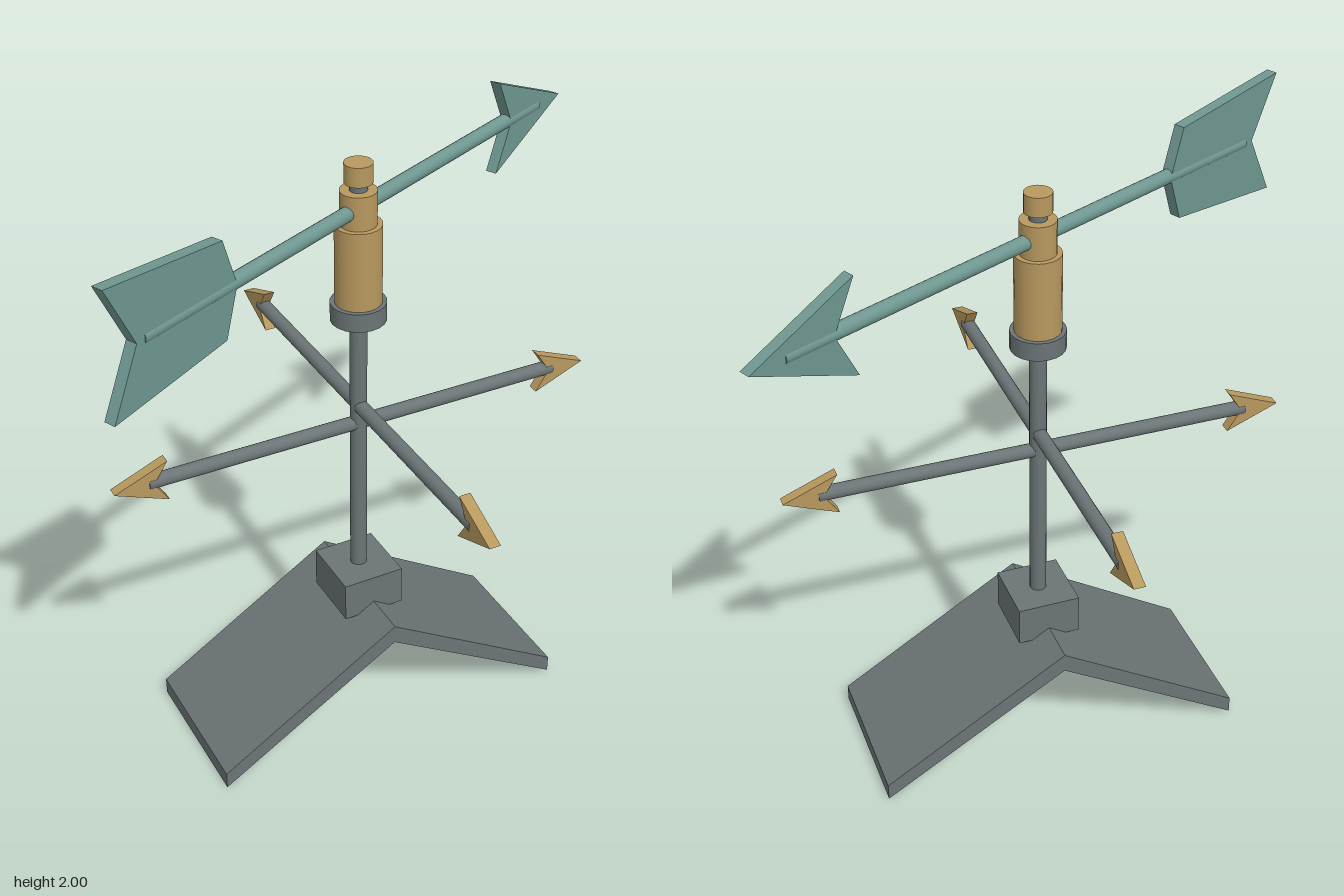
import * as THREE from 'three';

const iron = new THREE.MeshStandardMaterial({ color: 0x6b7476 });
const brass = new THREE.MeshStandardMaterial({ color: 0xb8995f });
const patina = new THREE.MeshStandardMaterial({ color: 0x6f9790 });

function add(parent, name, geometry, material) {
  const mesh = new THREE.Mesh(geometry, material);
  mesh.name = name;
  parent.add(mesh);
  return mesh;
}

// Upright cylinder between two heights
function turned(parent, name, radius, y0, y1, material) {
  const mesh = add(parent, name, new THREE.CylinderGeometry(radius, radius, y1 - y0, 20), material);
  mesh.position.y = (y0 + y1) / 2;
}

// Horizontal rod along x
function rod(parent, name, radius, x0, x1, material) {
  const mesh = add(parent, name, new THREE.CylinderGeometry(radius, radius, x1 - x0, 16), material);
  mesh.rotation.z = Math.PI / 2;
  mesh.position.x = (x0 + x1) / 2;
}

// Flat outline in x/y, extruded evenly about z = 0
function plate(parent, name, points, depth, material) {
  const shape = new THREE.Shape(points.map(([x, y]) => new THREE.Vector2(x, y)));
  const geometry = new THREE.ExtrudeGeometry(shape, { depth, bevelEnabled: false });
  geometry.translate(0, 0, -depth / 2);
  return add(parent, name, geometry, material);
}

export function createModel() {
  const model = new THREE.Group();
  model.name = 'weatherVane';
  const body = new THREE.Group();
  body.name = 'vaneBody';
  body.position.x = -0.008;
  model.add(body);

  // Roof ridge and mounting block
  plate(body, 'roofRidge', [
    [-0.605, 0], [0, 0.368], [0.605, 0], [0.605, 0.057], [0, 0.432], [-0.605, 0.057],
  ], 0.505, iron);
  const block = add(body, 'mountingBlock', new THREE.BoxGeometry(0.205, 0.133, 0.215), iron);
  block.position.y = 0.462;

  // Mast, bearing and cap
  turned(body, 'mast', 0.027, 0.4, 1.45, iron);
  turned(body, 'collar', 0.086, 1.44, 1.5, iron);
  turned(body, 'sleeve', 0.072, 1.5, 1.755, brass);
  turned(body, 'neck', 0.056, 1.755, 1.862, brass);
  turned(body, 'spindle', 0.027, 1.862, 1.888, iron);
  turned(body, 'cap', 0.043, 1.886, 1.947, brass);

  // Crossed direction arms with a pointed tip at each end
  for (const [name, y, turn] of [['sideArm', 1.07, 0], ['frontBackArm', 1.135, Math.PI / 2]]) {
    const arm = new THREE.Group();
    arm.name = name;
    arm.position.y = y;
    arm.rotation.y = turn;
    body.add(arm);
    rod(arm, 'armRod', 0.023, -0.7, 0.7, iron);
    for (const side of [0, Math.PI]) {
      plate(arm, 'armTip', [
        [0.81, 0], [0.64, 0.069], [0.685, 0], [0.64, -0.069],
      ], 0.036, brass).rotation.y = side;
    }
  }

  // Wind arrow, swung around the mast
  const arrow = new THREE.Group();
  arrow.name = 'windArrow';
  arrow.position.y = 1.805;
  arrow.rotation.y = THREE.MathUtils.degToRad(25);
  body.add(arrow);
  rod(arrow, 'arrowShaft', 0.023, -0.905, 0.925, patina);
  plate(arrow, 'arrowHead', [
    [1.043, 0], [0.69, 0.151], [0.765, 0], [0.69, -0.151],
  ], 0.037, patina);
  plate(arrow, 'arrowTail', [
    [-0.55, 0], [-0.6, 0.15], [-1.035, 0.197], [-0.935, 0], [-1.035, -0.197], [-0.6, -0.15],
  ], 0.037, patina);

  return model;
}
